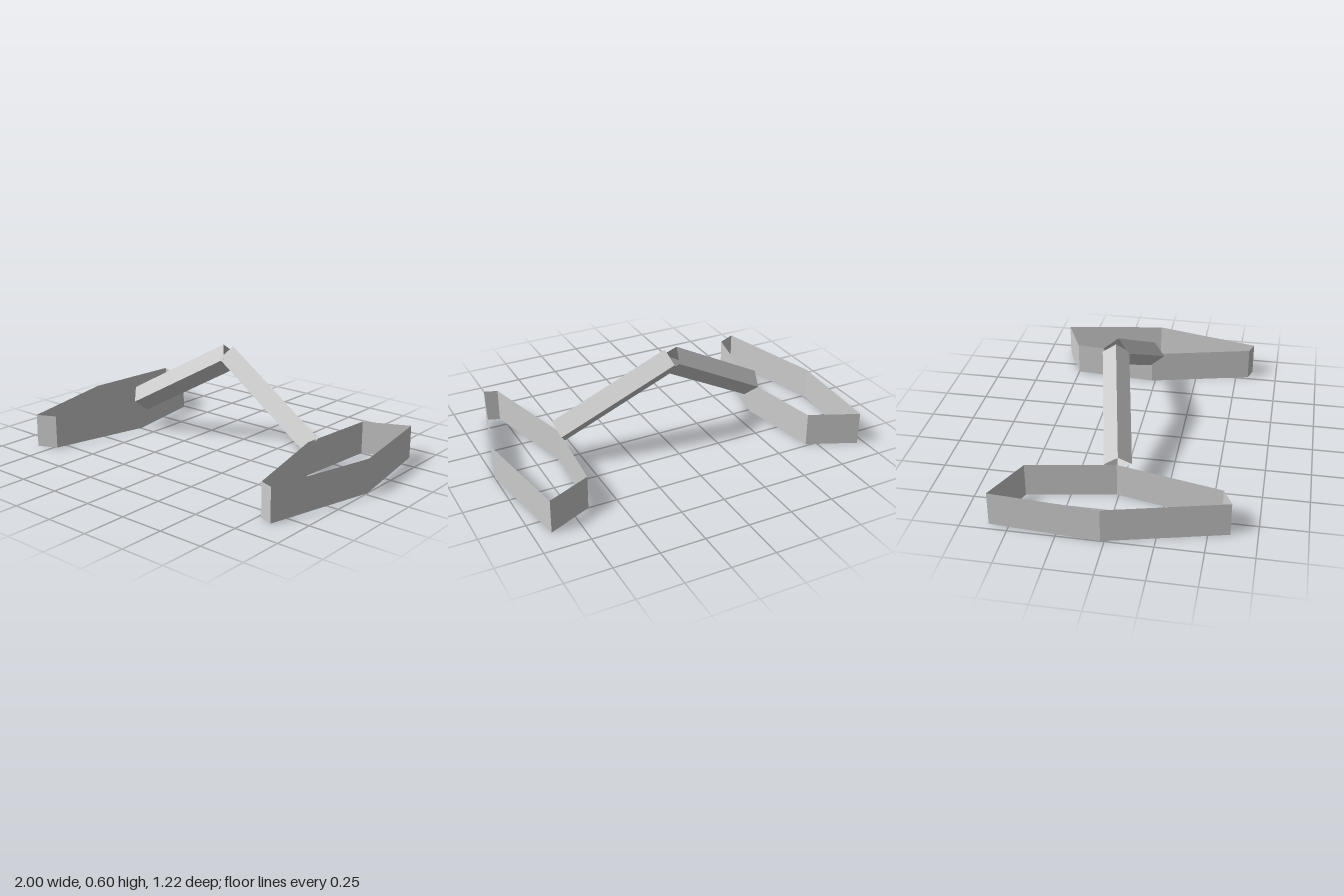
import * as THREE from 'three';

// Open-ended band of flat walls between two matching loops of points
function openBand(loopA, loopB, material, name) {
  const pos = [];
  const n = loopA.length;
  for (let i = 0; i < n; i++) {
    const j = (i + 1) % n;
    const [a, b, c, d] = [loopA[i], loopA[j], loopB[j], loopB[i]];
    for (const p of [a, b, c, a, c, d]) pos.push(p.x, p.y, p.z);
  }
  const geometry = new THREE.BufferGeometry();
  geometry.setAttribute('position', new THREE.Float32BufferAttribute(pos, 3));
  geometry.computeVertexNormals();
  const mesh = new THREE.Mesh(geometry, material);
  mesh.name = name;
  return mesh;
}

// Upright six-sided ring; corners are [x, z], counter-clockwise from above
function ring(corners, material, name) {
  const level = (y) => corners.map(([x, z]) => new THREE.Vector3(x, y, z));
  return openBand(level(0), level(0.19), material, name);
}

// Square tube given its ridge line and the two section sides leaving the ridge
function beam(ridgeStart, ridgeEnd, frontSide, backSide, material, name) {
  const f = new THREE.Vector3(...frontSide);
  const b = new THREE.Vector3(...backSide);
  const section = (point) => {
    const top = new THREE.Vector3(...point);
    return [top, top.clone().add(f), top.clone().add(f).add(b), top.clone().add(b)];
  };
  let start = section(ridgeStart);
  let end = section(ridgeEnd);
  // keep the walls facing outward on both sides
  if (ridgeEnd[0] > 0) [start, end] = [end, start];
  return openBand(end, start, material, name);
}

export function createModel() {
  const grey = new THREE.MeshStandardMaterial({ color: 0xcccccc });
  grey.name = 'light grey';
  grey.side = THREE.DoubleSide;
  grey.flatShading = true;

  const model = new THREE.Group();
  model.name = 'ringsAndArch';

  // Ground rings
  model.add(
    ring([[0.77, 0.575], [0.845, 0.6], [1, -0.02], [0.906, -0.612], [0.66, -0.5], [0.622, -0.02]], grey, 'leftRing'),
    ring([[-0.84, 0.612], [-0.734, 0.56], [-0.606, -0.01], [-0.69, -0.485], [-0.96, -0.605], [-1, -0.02]], grey, 'rightRing')
  );

  // Arch of two open square tubes
  model.add(
    beam([0.025, 0.598, -0.117], [0.655, 0.257, -0.01], [-0.046, -0.066, 0.068], [-0.018, -0.063, -0.083], grey, 'leftBeam'),
    beam([-0.047, 0.598, -0.117], [-0.638, 0.258, 0.003], [0.053, -0.067, 0.064], [0.022, -0.065, -0.08], grey, 'rightBeam')
  );
  return model;
}
